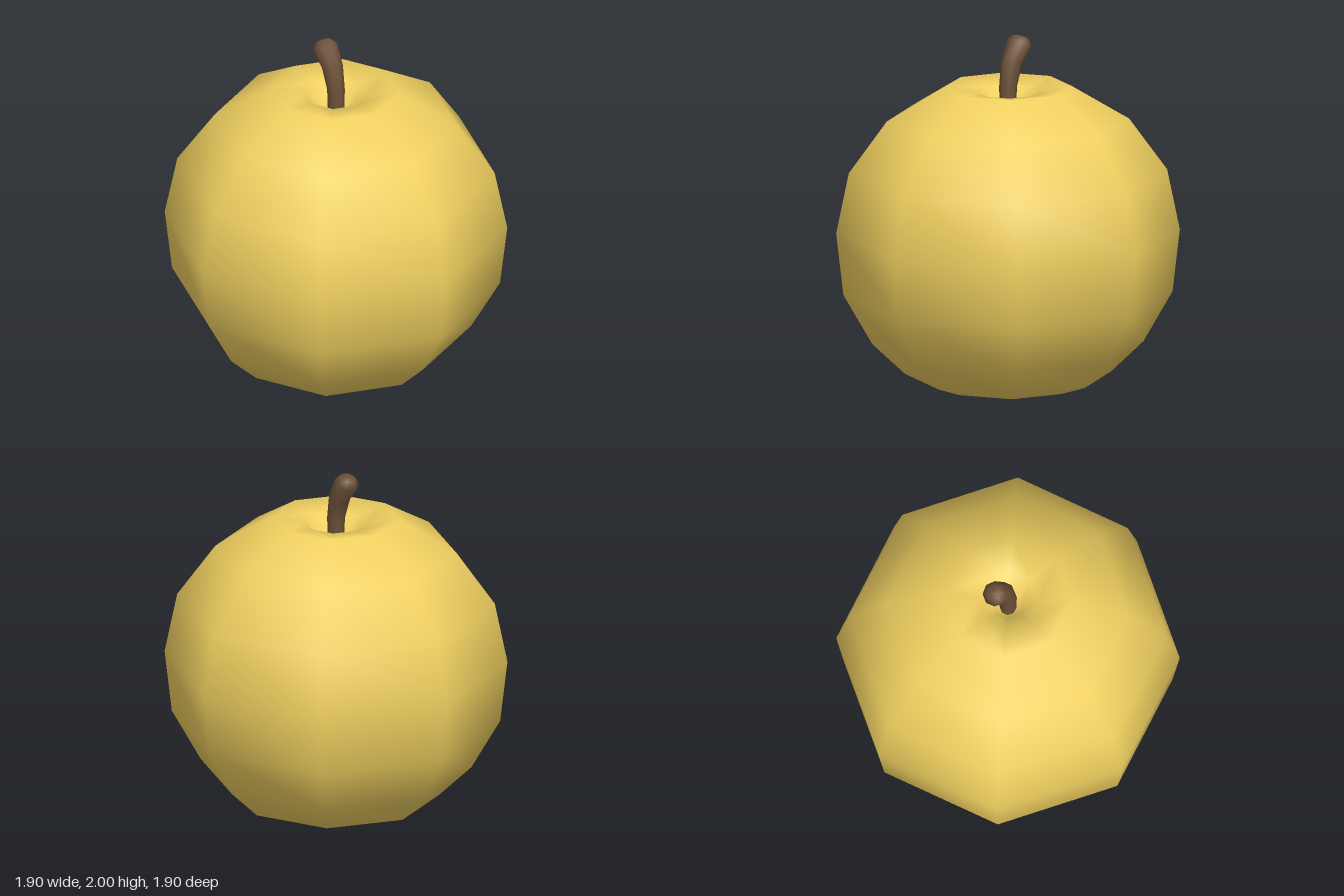
import * as THREE from 'three';

const SIDES = 8;

// Eight-sided fruit turned from a profile, with a hollow at each end
function makeFruit() {
  const profile = [
    [0, 0.13], [0.07, 0.1], [0.15, 0], [0.4, 0.04], [0.57, 0.1], [0.75, 0.27],
    [0.91, 0.55], [0.95, 0.9], [0.88, 1.24], [0.67, 1.53], [0.35, 1.72],
    [0.17, 1.69], [0.07, 1.57], [0, 1.54],
  ].map(([r, y]) => new THREE.Vector2(r, y));
  const material = new THREE.MeshStandardMaterial({ color: 0xf0d060 });
  const fruit = new THREE.Mesh(new THREE.LatheGeometry(profile, SIDES), material);
  fruit.name = 'fruitBody';
  return fruit;
}

// Bent stem: rings of [x, y, radius, lean], joined and closed at the tip
function makeStem() {
  const rings = [
    [0, 1.5, 0.045, 0], [0, 1.72, 0.049, 0.05], [-0.03, 1.85, 0.059, 0.32],
    [-0.098, 1.955, 0.07, 0.42], [-0.107, 1.985, 0.04, 0.36], [-0.109, 1.99, 0, 0.36],
  ];
  const geometry = new THREE.CylinderGeometry(1, 1, 1, SIDES, rings.length - 1, true);
  const position = geometry.attributes.position;
  for (let i = 0; i < position.count; i++) {
    // Cylinder rows run from the top down
    const row = Math.floor(i / (SIDES + 1));
    const [x, y, r, lean] = rings[rings.length - 1 - row];
    const px = position.getX(i) * r;
    position.setXYZ(i, x + px * Math.cos(lean), y + px * Math.sin(lean), position.getZ(i) * r);
  }
  geometry.computeVertexNormals();
  // Match normals along the seam
  const normal = geometry.attributes.normal;
  const a = new THREE.Vector3(), b = new THREE.Vector3();
  for (let row = 0; row < rings.length; row++) {
    const first = row * (SIDES + 1), last = first + SIDES;
    a.fromBufferAttribute(normal, first).add(b.fromBufferAttribute(normal, last)).normalize();
    normal.setXYZ(first, a.x, a.y, a.z);
    normal.setXYZ(last, a.x, a.y, a.z);
  }
  const stem = new THREE.Mesh(geometry, new THREE.MeshStandardMaterial({ color: 0x6e5239 }));
  stem.name = 'stem';
  return stem;
}

export function createModel() {
  const model = new THREE.Group();
  model.name = 'apple';
  model.add(makeFruit(), makeStem());
  return model;
}
